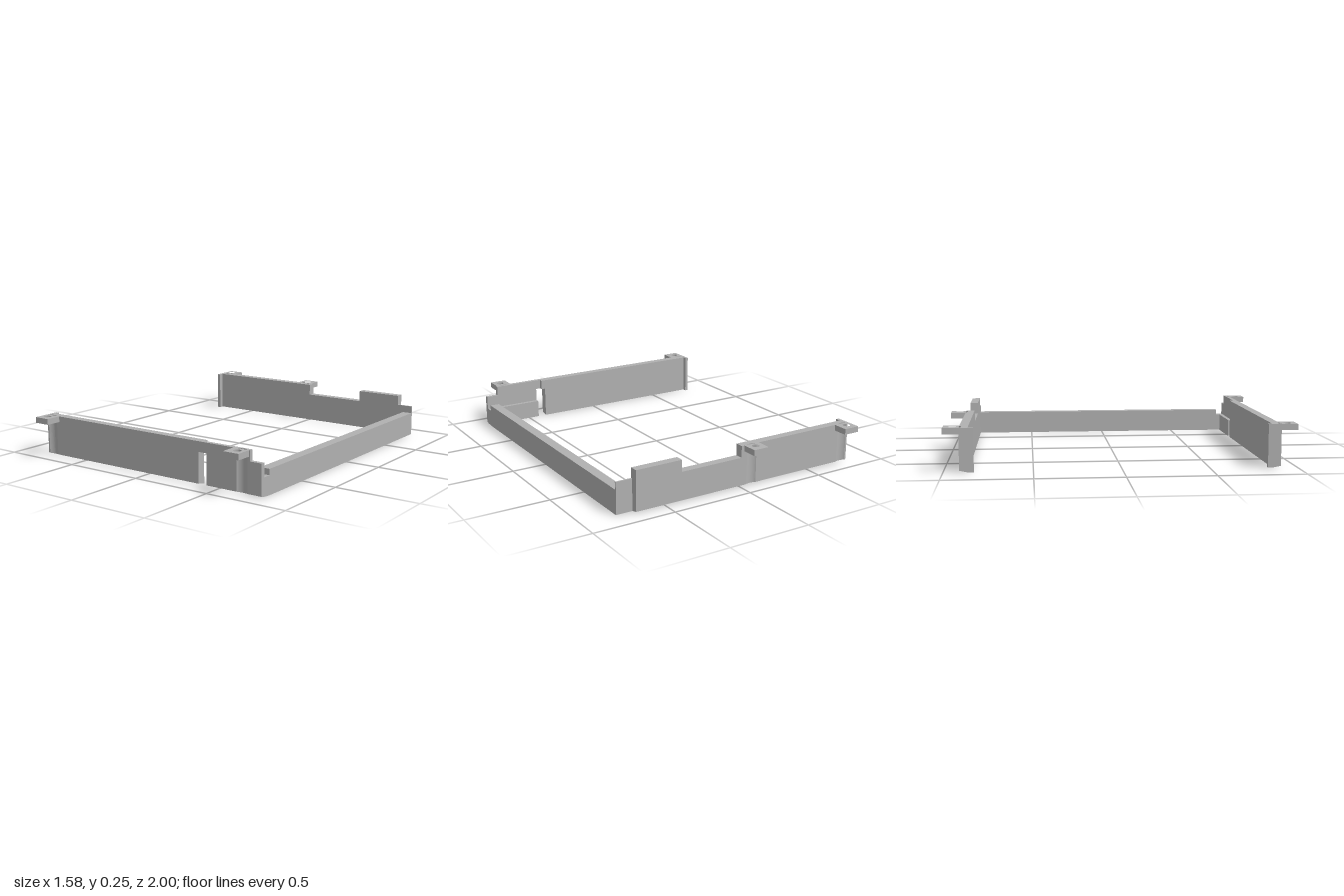
import * as THREE from 'three';

const TOP = 0.25;

export function createModel() {
  const model = new THREE.Group();
  model.name = 'bracketFrame';
  const grey = new THREE.MeshStandardMaterial({ color: 0xb0b0b0 });
  grey.name = 'plain grey';

  // Extrudes a plan outline upwards; the plan is drawn in (x, -z)
  function extrude(name, shape, y0, y1) {
    const geo = new THREE.ExtrudeGeometry(shape, { depth: y1 - y0, bevelEnabled: false, curveSegments: 20 });
    geo.rotateX(-Math.PI / 2);
    geo.translate(0, y0, 0);
    // The underside rises slightly towards the outer faces of the side walls
    const p = geo.attributes.position;
    for (let i = 0; i < p.count; i++) {
      if (p.getY(i) < 1e-4) p.setY(i, Math.max(0, Math.abs(p.getZ(i)) - 0.865) * 0.25);
    }
    geo.computeVertexNormals();
    const mesh = new THREE.Mesh(geo, grey);
    mesh.name = name;
    model.add(mesh);
  }

  // Rectangular block, with optional screw grooves in its outer long face.
  // side = 1 for the front wall and -1 for the back wall; zIn, zOut are distances from the centre.
  function block(name, side, x0, x1, zIn, zOut, y0, y1, grooves = []) {
    const r = 0.053, cz = zOut + 0.04;
    const half = Math.sqrt(r * r - 0.04 * 0.04);
    const s = new THREE.Shape();
    s.moveTo(x0, -side * zIn);
    s.lineTo(x0, -side * zOut);
    for (const gx of grooves) {
      s.lineTo(gx - half, -side * zOut);
      for (let i = 1; i <= 12; i++) {
        const x = -half + (2 * half * i) / 12;
        s.lineTo(gx + x, -side * (cz - Math.sqrt(r * r - x * x)));
      }
    }
    s.lineTo(x1, -side * zOut);
    s.lineTo(x1, -side * zIn);
    s.closePath();
    extrude(name, s, y0, y1);
  }

  // Mounting tab with a round screw hole
  function tab(name, side, x0, zIn, holeX) {
    const s = new THREE.Shape([
      [x0, zIn], [x0, 1], [x0 + 0.1, 1], [x0 + 0.1, zIn],
    ].map(([x, z]) => new THREE.Vector2(x, -side * z)));
    const hole = new THREE.Path();
    hole.absarc(holeX, -side * 0.947, 0.022, 0, Math.PI * 2, true);
    s.holes.push(hole);
    extrude(name, s, 0.215, TOP);
  }

  // Front wall: long panel, bridge over the slot, thin panel with inner ledge
  block('frontWall', 1, -0.79, 0.375, 0.855, 0.905, 0, TOP, [-0.745]);
  block('slotBridge', 1, 0.375, 0.40, 0.855, 0.905, 0.19, TOP);
  block('slotBridgeThin', 1, 0.40, 0.43, 0.88, 0.905, 0.19, TOP);
  block('frontThinWall', 1, 0.43, 0.715, 0.88, 0.905, 0, TOP, [0.665]);
  block('frontLedge', 1, 0.43, 0.73, 0.855, 0.88, 0, 0.11);
  block('frontCorner', 1, 0.715, 0.79, 0.88, 0.905, 0, 0.19);

  // Back wall: tall ends with a lowered middle, and a thin corner plate
  block('backWall', -1, -0.79, 0, 0.86, 0.91, 0, TOP, [-0.745, -0.07]);
  block('backLowWall', -1, 0, 0.40, 0.86, 0.91, 0, 0.18);
  block('backEndWall', -1, 0.40, 0.69, 0.86, 0.91, 0, TOP);
  block('backCornerPlate', -1, 0.69, 0.79, 0.86, 0.87, 0, 0.19);

  // Cross wall joining both sides, notched at its front end
  block('crossWall', 1, 0.73, 0.79, -0.865, 0.83, 0, 0.145);
  block('crossWallNotch', 1, 0.73, 0.79, 0.83, 0.88, 0, 0.11);

  // Small inward flanges on the open ends
  block('frontFlange', 1, -0.79, -0.77, 0.83, 0.855, 0, TOP);
  block('backFlange', -1, -0.79, -0.77, 0.83, 0.86, 0, TOP);

  // Mounting tabs
  tab('frontOuterTab', 1, -0.79, 0.905, -0.745);
  tab('frontInnerTab', 1, 0.61, 0.905, 0.665);
  tab('backOuterTab', -1, -0.79, 0.91, -0.745);
  tab('backInnerTab', -1, -0.12, 0.91, -0.07);

  return model;
}
